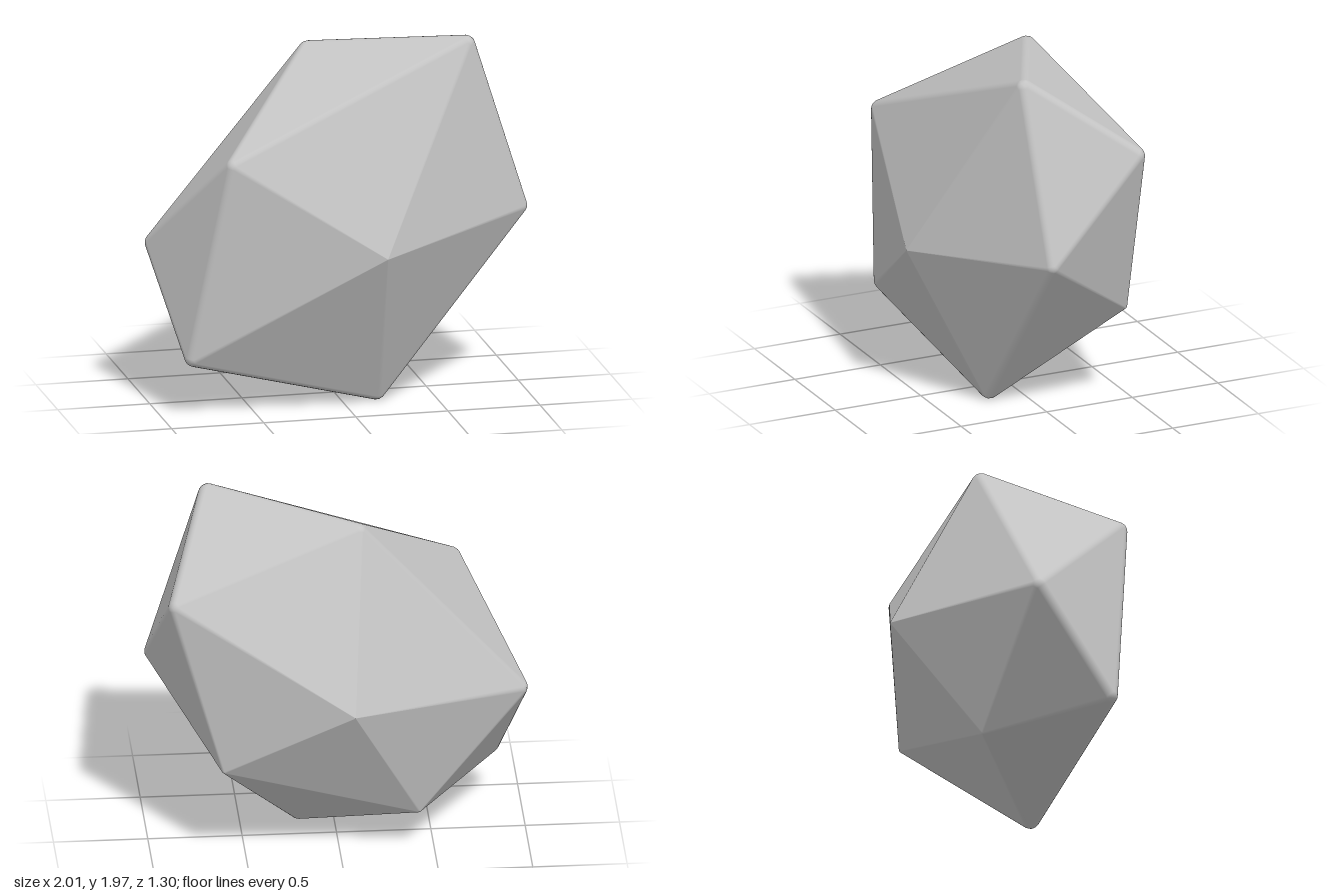
import * as THREE from 'three';
import { ConvexGeometry } from 'three/addons/geometries/ConvexGeometry.js';

// Corner: position plus the radius of its rounding
const corner = (x, y, z, r) => ({ p: new THREE.Vector3(x, y, z), r, normals: [] });

export function createModel() {
  const front = corner(0.14, 0.89, 0.65, 0.004);
  const back = corner(-0.05, 0.98, -0.65, 0.004);
  // Two rings of five corners, each back corner sits between two front ones
  const f = [
    corner(0.685, 1.955, 0.235, 0.05), corner(-0.67, 1.41, 0.465, 0.05),
    corner(-0.87, 0.30, 0.35, 0.05), corner(0.20, 0, 0.20, 0.05),
    corner(1.0, 1.0, 0.20, 0.045)];
  const b = [
    corner(-0.12, 1.875, -0.19, 0.05), corner(-1.0, 0.86, -0.11, 0.05),
    corner(-0.42, 0.22, -0.25, 0.02), corner(0.63, 0.565, -0.405, 0.02),
    corner(0.90, 1.535, -0.38, 0.05)];

  // Twenty facets of the stone
  const faces = [];
  for (let i = 0; i < 5; i++) {
    const j = (i + 1) % 5;
    faces.push([front, f[i], f[j]], [f[i], b[i], f[j]], [b[i], b[j], f[j]], [back, b[j], b[i]]);
  }
  for (const corners of faces) {
    const normal = new THREE.Vector3();
    new THREE.Triangle(...corners.map((c) => c.p)).getNormal(normal);
    corners.forEach((c) => c.normals.push({ normal, corners }));
  }

  // Rounded corners: points along the arcs between neighbouring facet normals
  const points = [];
  for (const c of [front, back, ...f, ...b]) {
    const out = new THREE.Vector3();
    c.normals.forEach((n) => out.add(n.normal));
    out.normalize();
    const core = c.p.clone().addScaledVector(out, -c.r);
    const add = (n) => {
      const point = core.clone().addScaledVector(n, c.r);
      point.normal = n;
      points.push(point);
    };
    add(out);
    c.normals.forEach((m, i) => {
      add(m.normal);
      add(m.normal.clone().add(out).normalize());
      for (const n of c.normals.slice(i + 1)) {
        if (m.corners.filter((k) => n.corners.includes(k)).length < 2) continue;
        for (const t of [0.25, 0.5, 0.75]) add(m.normal.clone().lerp(n.normal, t).normalize());
      }
    });
  }

  // Hull with smooth bevels and flat facets
  const geometry = new ConvexGeometry(points);
  const pos = geometry.attributes.position;
  const nor = geometry.attributes.normal;
  const v = new THREE.Vector3();
  for (let i = 0; i < pos.count; i++) {
    v.fromBufferAttribute(pos, i);
    let best = points[0];
    for (const q of points) if (q.distanceToSquared(v) < best.distanceToSquared(v)) best = q;
    nor.setXYZ(i, best.normal.x, best.normal.y, best.normal.z);
  }

  const stoneGrey = new THREE.MeshStandardMaterial({ color: 0xc4c4c4 });
  stoneGrey.name = 'stoneGrey';
  const stone = new THREE.Mesh(geometry, stoneGrey);
  stone.name = 'stone';
  const group = new THREE.Group();
  group.name = 'rock';
  group.add(stone);
  return group;
}
